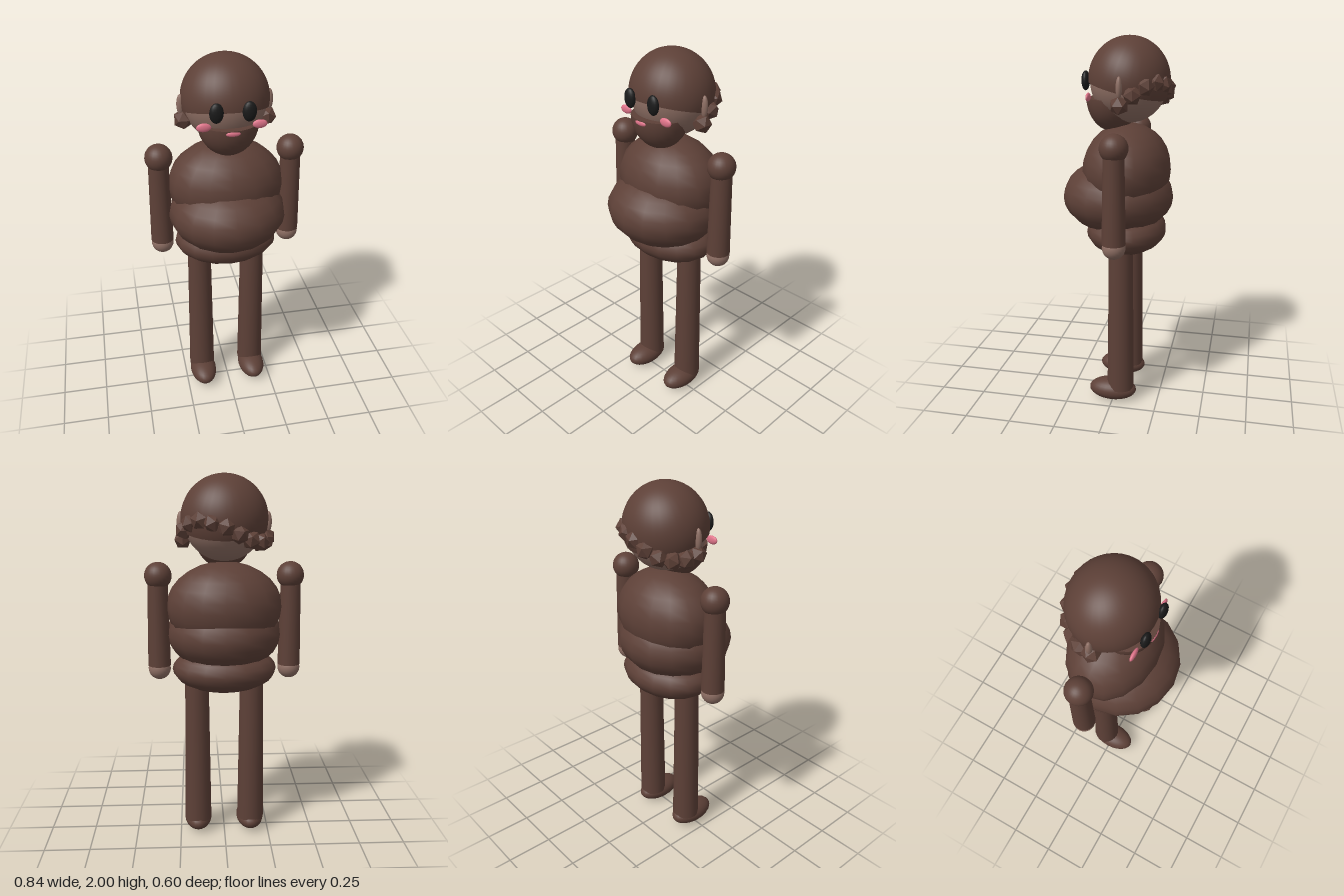
import * as THREE from 'three';

const paint = (name, color, side = THREE.FrontSide) => {
  const m = new THREE.MeshStandardMaterial({ color, side });
  m.name = name;
  return m;
};

export function createModel() {
  const model = new THREE.Group();
  const brown = paint('brown fur', 0x5d4037, THREE.DoubleSide);
  const skin = paint('tan skin', 0x8d6e63);
  const black = paint('eye black', 0x1a1a1a);
  const pink = paint('blush pink', 0xe0748a);
  const midZ = -0.047;

  const add = (name, geometry, material, x, y, z) => {
    const mesh = new THREE.Mesh(geometry, material);
    mesh.name = name;
    mesh.position.set(x, y, z);
    model.add(mesh);
    return mesh;
  };
  // ellipsoid from centre and three radii
  const blob = (name, material, [x, y, z], [rx, ry, rz], w = 24, h = 18) => {
    const g = new THREE.SphereGeometry(1, w, h).scale(rx, ry, rz);
    return add(name, g, material, x, y, z);
  };

  // Torso
  blob('chest', brown, [0, 1.315, midZ], [0.308, 0.24, 0.235], 16, 14);
  blob('belly', brown, [0, 1.165, 0], [0.312, 0.2, 0.298], 16, 14);
  blob('hips', brown, [0, 0.977, midZ], [0.281, 0.127, 0.215], 16, 14);

  // Head with a hair cap whose rim rises towards the forehead
  blob('head', skin, [0, 1.772, -0.057], [0.213, 0.213, 0.203], 32, 24);
  const cap = new THREE.SphereGeometry(1, 32, 24, 0, Math.PI * 2, 0, 1.8)
    .rotateX(-0.22).scale(0.225, 0.225, 0.213);
  add('hairCap', cap, brown, 0, 1.775, -0.057);

  // Beard: lower half of an ellipsoid with a flat top
  const beardY = 1.685;
  const beard = new THREE.SphereGeometry(1, 24, 12, 0, Math.PI * 2, Math.PI / 2, Math.PI / 2)
    .scale(0.155, 0.175, 0.14);
  add('beard', beard, brown, 0, beardY, 0.028);
  const beardTop = new THREE.CircleGeometry(1, 24).rotateX(-Math.PI / 2).scale(0.155, 1, 0.14);
  add('beardTop', beardTop, brown, 0, beardY, 0.028);

  blob('mouth', pink, [0, 1.67, 0.161], [0.038, 0.014, 0.01], 16, 10);

  // Faceted curls around the back of the head
  const curlHeights = [1.67, 1.72, 1.76, 1.775, 1.765, 1.745, 1.71, 1.68, 1.665, 1.665, 1.68];
  curlHeights.forEach((y, i) => {
    const a = (i / (curlHeights.length - 1)) * Math.PI;
    const curl = add('curl', new THREE.IcosahedronGeometry(0.05, 0), brown,
      Math.cos(a) * 0.215, y, -0.045 - Math.sin(a) * 0.205);
    curl.rotation.set(i * 0.7, i * 1.1, i * 0.4);
  });
  // faceted look for the curls through unshared face normals
  model.children.filter((c) => c.name === 'curl').forEach((c) => c.geometry.computeVertexNormals());

  for (const [side, s] of [['left', 1], ['right', -1]]) {
    const named = (part) => side + part;
    // Face details
    blob(named('Eye'), black, [s * 0.08, 1.777, 0.155], [0.035, 0.05, 0.021], 16, 12);
    blob(named('Cheek'), pink, [s * 0.138, 1.7, 0.129], [0.037, 0.022, 0.011], 16, 10);
    blob(named('Ear'), skin, [s * 0.225, 1.757, midZ], [0.02, 0.055, 0.016], 16, 12);

    // Arm
    blob(named('Shoulder'), brown, [s * 0.348, 1.482, midZ], [0.072, 0.072, 0.072]);
    add(named('Arm'), new THREE.CylinderGeometry(0.053, 0.061, 0.46, 20), brown,
      s * 0.351, 1.228, midZ);
    blob(named('Hand'), skin, [s * 0.351, 0.98, midZ], [0.06, 0.06, 0.06]);

    // Leg
    add(named('Leg'), new THREE.CylinderGeometry(0.064, 0.075, 0.86, 20), brown,
      s * 0.15, 0.51, -0.043);
    blob(named('Foot'), brown, [s * 0.15, 0.063, 0.002], [0.077, 0.061, 0.133]);
  }
  return model;
}
